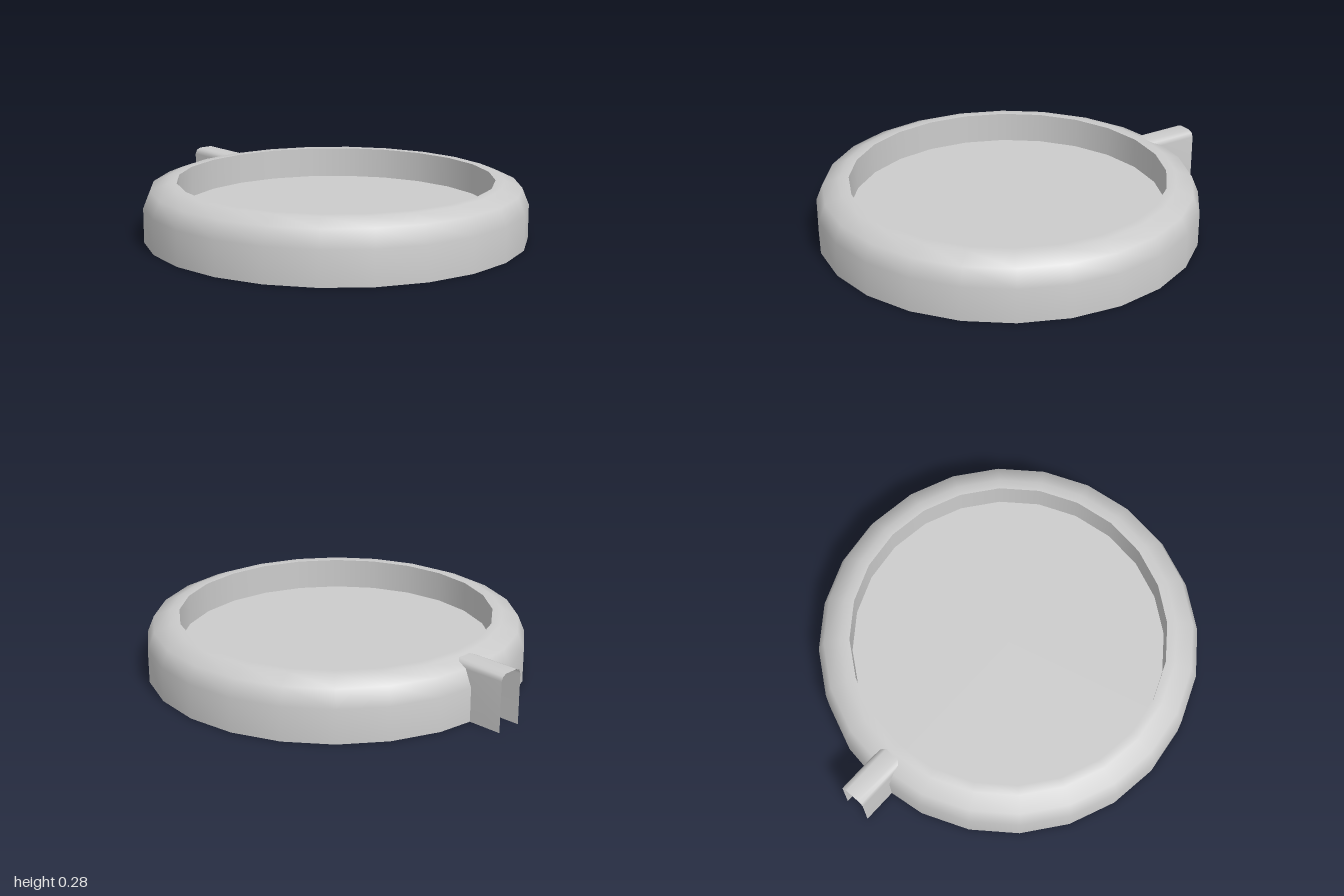
import * as THREE from 'three';

const material = new THREE.MeshStandardMaterial({ color: 0xcccccc, side: THREE.DoubleSide });
const SIDES = 24, OUTER = 0.92, INNER = 0.76, HEIGHT = 0.28, FLOOR = 0.13, BEVEL = 0.115;

function part(name, geometry, parent) {
  const mesh = new THREE.Mesh(geometry, material);
  mesh.name = name;
  parent.add(mesh);
  return mesh;
}

// Points on a rounded corner, from angle a0 to a1
function arc(cx, cy, r, a0, a1, steps) {
  return Array.from({ length: steps + 1 }, (_, i) => {
    const a = a0 + (a1 - a0) * i / steps;
    return new THREE.Vector2(cx + r * Math.cos(a), cy + r * Math.sin(a));
  });
}

// Open strip: a section in x/y swept straight from z0 to z1
function sweep(section, z0, z1) {
  const positions = [], index = [];
  section.forEach((p, i) => {
    positions.push(p.x, p.y, z0, p.x, p.y, z1);
    if (i > 0) {
      const a = 2 * (i - 1);
      index.push(a, a + 2, a + 1, a + 1, a + 2, a + 3);
    }
  });
  const geometry = new THREE.BufferGeometry();
  geometry.setAttribute('position', new THREE.Float32BufferAttribute(positions, 3));
  geometry.setIndex(index);
  geometry.computeVertexNormals();
  return geometry;
}

export function createModel() {
  const model = new THREE.Group();
  model.name = 'roundTray';

  const tray = new THREE.Group();
  tray.name = 'tray';
  tray.position.z = 0.08;
  model.add(tray);

  // Outer wall with rounded shoulder and flat rim
  const outerProfile = [
    new THREE.Vector2(OUTER, 0),
    ...arc(OUTER - BEVEL, HEIGHT - BEVEL, BEVEL, 0, Math.PI / 2, 2),
    new THREE.Vector2(INNER, HEIGHT),
  ];
  part('outerRim', new THREE.LatheGeometry(outerProfile, SIDES), tray);

  // Inner wall down to the recessed floor
  const innerProfile = [new THREE.Vector2(INNER, HEIGHT), new THREE.Vector2(INNER, FLOOR)];
  part('innerWall', new THREE.LatheGeometry(innerProfile, SIDES), tray);

  const floor = part('floor', new THREE.CircleGeometry(INNER, SIDES), tray);
  floor.rotation.x = -Math.PI / 2;
  floor.position.y = FLOOR;

  // Channel at the back, open below and at its ends
  const w = 0.065, top = 0.275, r = 0.03;
  const section = [
    new THREE.Vector2(w, 0),
    ...arc(w - r, top - r, r, 0, Math.PI / 2, 2),
    ...arc(-w + r, top - r, r, Math.PI / 2, Math.PI, 2),
    new THREE.Vector2(-w, 0),
  ];
  part('backChannel', sweep(section, -0.69, -1), model);

  return model;
}
